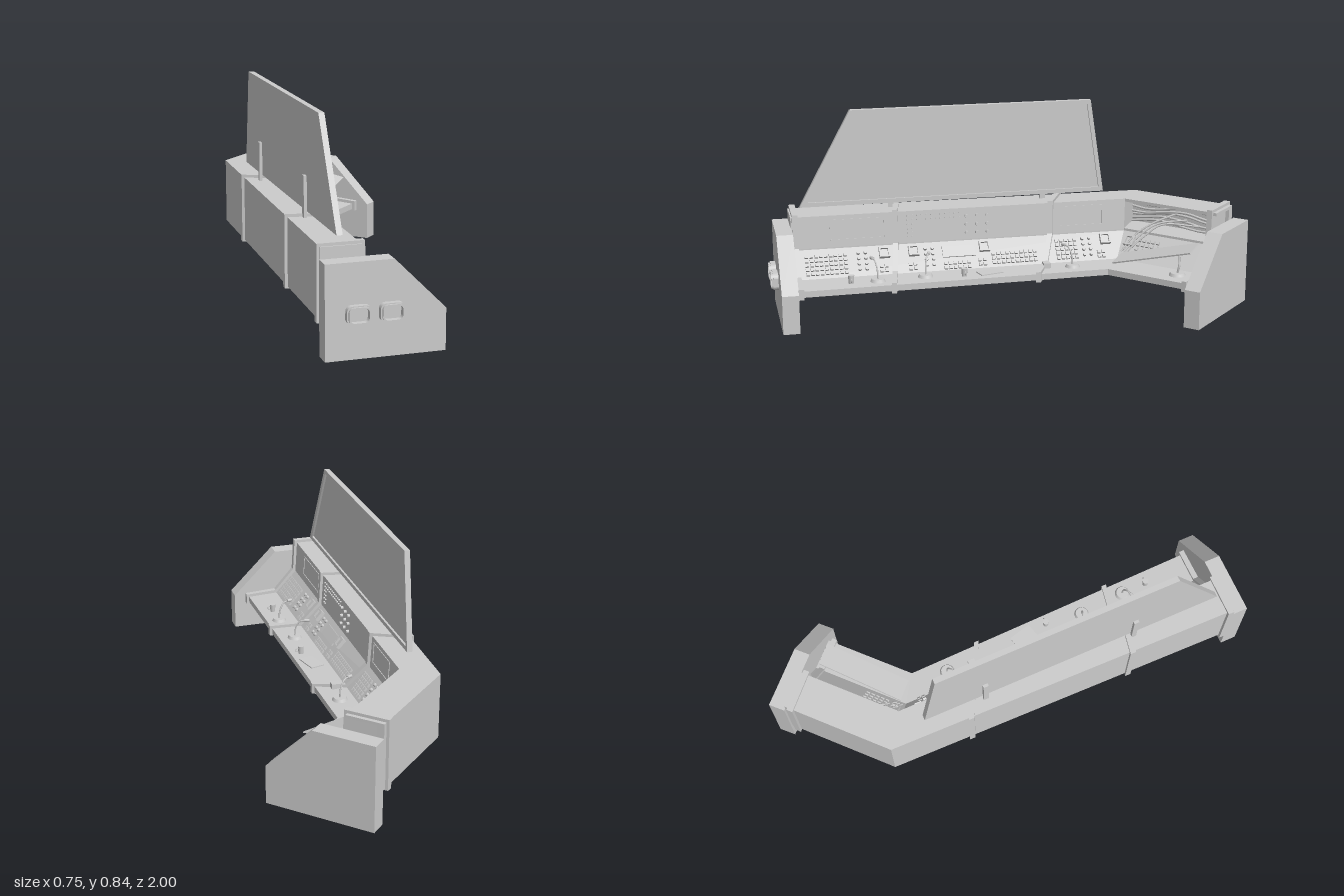
import * as THREE from 'three';

const mat = new THREE.MeshStandardMaterial({ color: 0xcccccc, side: THREE.DoubleSide });
const V = (x, y, z) => new THREE.Vector3(x, y, z);

// Plan of the console: back and front corner at the near end, the bend and the far end
const plan = [
  [V(-0.365, 0, 0.905), V(0.025, 0, 0.905)],
  [V(-0.342, 0, -0.62), V(0, 0, -0.4)],
  [V(0, 0, -0.945), V(0.28, 0, -0.668)],
];
// s runs along the console (0..1 straight, 1..2 wing), t from back to front
function at(s, t, y) {
  const k = s < 1 ? 0 : 1;
  const a = plan[k][0].clone().lerp(plan[k][1], t);
  const b = plan[k + 1][0].clone().lerp(plan[k + 1][1], t);
  return a.lerp(b, s - k).setY(y);
}
const sOfZ = (z) => (0.905 - z) / 1.43;

function add(parent, name, geo, x = 0, y = 0, z = 0) {
  const m = new THREE.Mesh(geo, mat);
  m.name = name;
  m.position.set(x, y, z);
  parent.add(m);
  return m;
}
const box = (w, h, d) => new THREE.BoxGeometry(w, h, d);
const shapeOf = (pts) => new THREE.Shape(pts.map(([x, y]) => new THREE.Vector2(x, y)));
const extrude = (shape, depth) => new THREE.ExtrudeGeometry(shape, { depth, bevelEnabled: false, curveSegments: 8 });

// Sweep a (t, y) profile between two stations, with closed ends
function loft(profile, s0, s1) {
  const pos = [], n = profile.length;
  const p = (s, i) => at(s, ...profile[i % n]);
  const tri = (...v) => v.forEach((q) => pos.push(q.x, q.y, q.z));
  for (let i = 0; i < n; i++) {
    const a = p(s0, i), b = p(s0, i + 1), c = p(s1, i + 1), d = p(s1, i);
    tri(a, d, c);
    tri(a, c, b);
  }
  for (const [i, j, k] of THREE.ShapeUtils.triangulateShape(profile.map(([t, y]) => new THREE.Vector2(t, y)), [])) {
    tri(p(s0, i), p(s0, j), p(s0, k));
    tri(p(s1, k), p(s1, j), p(s1, i));
  }
  const g = new THREE.BufferGeometry();
  g.setAttribute('position', new THREE.Float32BufferAttribute(pos, 3));
  g.computeVertexNormals();
  return g;
}

// Group lying on a console face: x along, y up the face, z outwards; q = 0 at the lower edge
const SLOPE = [[0.66, 0.175], [0.42, 0.275]];
const UPPER = [[0.42, 0.28], [0.4, 0.41]];
function onFace(root, name, face, s, q) {
  const [lo, hi] = face.map(([t, y]) => at(s, t, y));
  const mid = lo.clone().lerp(hi, q);
  const t = face[0][0] + (face[1][0] - face[0][0]) * q;
  const k = s < 1 ? 0 : 1;
  const e1 = at(k + 0.9, t, 0).sub(at(k, t, 0)).normalize();
  const e2 = hi.sub(lo);
  e2.addScaledVector(e1, -e2.dot(e1)).normalize();
  const g = new THREE.Group();
  g.name = name;
  g.quaternion.setFromRotationMatrix(new THREE.Matrix4().makeBasis(e1, e2, e1.clone().cross(e2)));
  g.position.copy(mid);
  root.add(g);
  return g;
}

// Rows and columns of keys or knobs
function grid(g, name, geo, cols, rows, dx, dy) {
  for (let i = 0; i < cols; i++)
    for (let j = 0; j < rows; j++)
      add(g, name, geo, (i - (cols - 1) / 2) * dx, (j - (rows - 1) / 2) * dy, 0.003);
}
const keyGeo = box(0.014, 0.013, 0.014);
const knobGeo = new THREE.CylinderGeometry(0.007, 0.008, 0.018, 10).rotateX(Math.PI / 2);
const dotGeo = new THREE.CylinderGeometry(0.004, 0.004, 0.008, 8).rotateX(Math.PI / 2);

function rim(g, name, w, h, b, d) {
  for (const k of [-1, 1]) {
    add(g, name, box(w, b, d), 0, k * (h - b) / 2, 0);
    add(g, name, box(b, h, d), k * (w - b) / 2, 0, 0);
  }
}
function monitor(g) {
  rim(g, 'monitorRim', 0.044, 0.046, 0.007, 0.036);
  add(g, 'monitorGlass', box(0.036, 0.038, 0.016));
}

const rounded = (w, h) => {
  const x = w / 2, y = h / 2, c = 0.5;
  const s = new THREE.Shape().moveTo(-x * c, -y).lineTo(x * c, -y);
  s.quadraticCurveTo(x * 0.9, -y, x, -y * c).lineTo(x, y * c);
  s.quadraticCurveTo(x * 0.9, y, x * c, y).lineTo(-x * c, y);
  s.quadraticCurveTo(-x * 0.9, y, -x, y * c).lineTo(-x, -y * c);
  return s.quadraticCurveTo(-x * 0.9, -y, -x * c, -y);
};
const tube = (pts, r) => new THREE.TubeGeometry(new THREE.CatmullRomCurve3(pts), 24, r, 6);

function microphone(root, x, z, turn) {
  const g = new THREE.Group();
  g.name = 'microphone';
  g.position.set(x, 0.172, z);
  g.rotation.y = turn;
  add(g, 'microphoneBase', new THREE.CylinderGeometry(0.026, 0.032, 0.012, 12), 0, 0.006, 0);
  add(g, 'microphoneStem', tube([V(0, 0.01, 0), V(-0.005, 0.05, 0), V(-0.025, 0.08, 0), V(-0.05, 0.085, 0)], 0.0035));
  add(g, 'microphoneHead', new THREE.CylinderGeometry(0.007, 0.007, 0.022, 8).rotateZ(Math.PI / 2), -0.055, 0.085, 0);
  root.add(g);
}

export function createModel() {
  const root = new THREE.Group();
  root.name = 'controlConsole';

  // Console body: closed straight run, wing with an open cabinet
  const base = [[0, 0.142], [1, 0.142], [1, 0.168], [0.66, 0.175], [0.42, 0.275]];
  add(root, 'straightBody', loft([...base, [0.42, 0.28], [0.4, 0.415], [0, 0.415]], 0, 1));
  add(root, 'wingBody', loft([...base, [0.42, 0.285], [0.08, 0.285], [0.08, 0.402], [0.4, 0.402], [0.4, 0.415], [0, 0.415]], 1, 2));

  // Ribs wrapped around the body
  const ribProfile = [[-0.03, 0.135], [1.03, 0.135], [1.03, 0.18], [0.67, 0.188], [0.45, 0.285], [0.43, 0.427], [-0.03, 0.427]];
  for (const [a, b] of [[0.004, 0.021], [0.295, 0.311], [0.762, 0.778], [1.91, 1.965]])
    add(root, 'rib', loft(ribProfile, a, b));

  // End panels with a sloping front corner
  const panel = extrude(shapeOf([[0, 0], [0.455, 0], [0.455, 0.16], [0.258, 0.358], [0, 0.358]]), 0.068);
  add(root, 'nearEndPanel', panel, -0.368, 0.012, 0.903);
  add(root, 'farEndPanel', panel, 0.05, 0.002, -1.0).rotation.y = -Math.PI / 4;

  // Oval ports on the near panel
  for (const x of [-0.247, -0.122]) {
    const ring = rounded(0.092, 0.07);
    ring.holes.push(rounded(0.074, 0.056));
    add(root, 'portRing', extrude(ring, 0.022), x, 0.18, 0.97);
    const lip = rounded(0.08, 0.062);
    lip.holes.push(rounded(0.07, 0.052));
    add(root, 'portLip', extrude(lip, 0.03), x, 0.18, 0.97);
    add(root, 'portPlate', extrude(rounded(0.074, 0.056), 0.008), x, 0.18, 0.97);
  }

  // Large screen with a raised rim, and its posts
  const outer = [[-0.86, 0.44], [0.45, 0.44], [0.39, 0.843], [-0.64, 0.843]];
  const inner = [[-0.825, 0.458], [0.43, 0.458], [0.375, 0.826], [-0.628, 0.826]];
  add(root, 'screenBack', extrude(shapeOf(outer), 0.014), -0.29).rotation.y = Math.PI / 2;
  const screenRim = shapeOf(outer);
  screenRim.holes.push(shapeOf(inner));
  add(root, 'screenRim', extrude(screenRim, 0.022), -0.289).rotation.y = Math.PI / 2;
  for (const z of [0.475, -0.185]) add(root, 'screenPost', box(0.012, 0.177, 0.022), -0.296, 0.489, z);

  // Controls on the sloping panel
  const slope = (name, z, q) => onFace(root, name, SLOPE, sOfZ(z), q);
  for (const [z, cols, rows, q] of [[0.765, 9, 5, 0.45], [-0.05, 10, 3, 0.3], [-0.28, 5, 5, 0.45], [0.2, 6, 2, 0.15]])
    grid(slope('keypad', z, q), 'key', keyGeo, cols, rows, 0.02, 0.02);
  for (const z of [0.612, 0.325, -0.37])
    grid(slope('knobs', z, 0.5), 'knob', knobGeo, 2, 4, 0.03, 0.025);
  for (const z of [0.52, 0.395, 0.09, -0.445]) {
    monitor(slope('smallMonitor', z, 0.72));
    grid(slope('keypad', z, 0.2), 'key', keyGeo, 2, 2, 0.02, 0.02);
  }
  add(slope('display', 0.2, 0.62), 'displayPanel', box(0.14, 0.05, 0.016));
  monitor(onFace(root, 'wingMonitor', SLOPE, 1.1, 0.65));
  grid(onFace(root, 'wingKeypad', SLOPE, 1.3, 0.5), 'key', keyGeo, 5, 4, 0.022, 0.022);

  // Upper panels: raised frames, indicator dots and knobs
  const upper = (name, z, q) => onFace(root, name, UPPER, sOfZ(z), q);
  for (const [z, w] of [[0.63, 0.23], [-0.33, 0.19]])
    rim(upper('upperFrame', z, 0.56), 'frameBar', w, 0.088, 0.004, 0.006);
  grid(upper('dotRow', 0.31, 0.82), 'dot', dotGeo, 12, 2, 0.02, 0.018);
  grid(upper('dotColumn', 0.41, 0.4), 'dot', dotGeo, 2, 4, 0.018, 0.018);
  grid(upper('upperKnobs', 0.125, 0.5), 'knob', knobGeo, 3, 3, 0.045, 0.036);

  // Cables inside the wing cabinet, and loose ones hanging out at the bend
  for (let i = 0; i < 6; i++) {
    const pts = [];
    for (let k = 0; k <= 6; k++)
      pts.push(at(1.03 + k * 0.15, 0.16 + 0.025 * (i % 3), 0.388 - 0.016 * i - 0.012 * Math.sin(k * 1.1 + i * 0.5) + (k > 3 ? 0.004 : 0)));
    add(root, 'cable', tube(pts, 0.005));
  }
  for (let i = 0; i < 3; i++)
    add(root, 'looseCable', tube([at(1.5 + 0.12 * i, 0.2, 0.36 - 0.02 * i), at(1.3 + 0.05 * i, 0.36, 0.32),
      at(1.14 + 0.05 * i, 0.48, 0.268), at(1.03 + 0.03 * i, 0.62, 0.205)], 0.004));

  // Tilted board on a bent arm above the wing desk
  const d = V(0.68, 0.265, -0.68).normalize();
  const u = V(0.68, -0.2, 0.68);
  u.addScaledVector(d, -u.dot(d)).normalize();
  const board = add(root, 'tiltedBoard', box(0.375, 0.1, 0.006), 0.062, 0.243, -0.588);
  board.quaternion.setFromRotationMatrix(new THREE.Matrix4().makeBasis(d, u.clone().negate(), u.clone().negate().cross(d).negate()));
  add(root, 'armBase', new THREE.CylinderGeometry(0.03, 0.036, 0.012, 12), 0.155, 0.177, -0.655);
  add(root, 'arm', tube([V(0.155, 0.18, -0.655), V(0.16, 0.21, -0.66), V(0.15, 0.24, -0.665), V(0.14, 0.268, -0.665)], 0.005));

  // Things on the desk
  microphone(root, -0.055, -0.26, 0.5);
  microphone(root, -0.05, 0.37, -0.4);
  microphone(root, -0.035, 0.57, 0.3);
  for (const [x, z] of [[-0.03, 0.21], [-0.035, 0.68]]) {
    add(root, 'mug', new THREE.CylinderGeometry(0.013, 0.011, 0.034, 12), x, 0.188, z);
    add(root, 'mugHandle', new THREE.TorusGeometry(0.008, 0.002, 6, 10), x + 0.015, 0.188, z);
  }
  add(root, 'deskBox', box(0.035, 0.022, 0.03), -0.07, 0.183, -0.15);
  add(root, 'tablet', box(0.06, 0.004, 0.1), -0.045, 0.176, 0.1).rotation.y = 0.25;
  return root;
}
